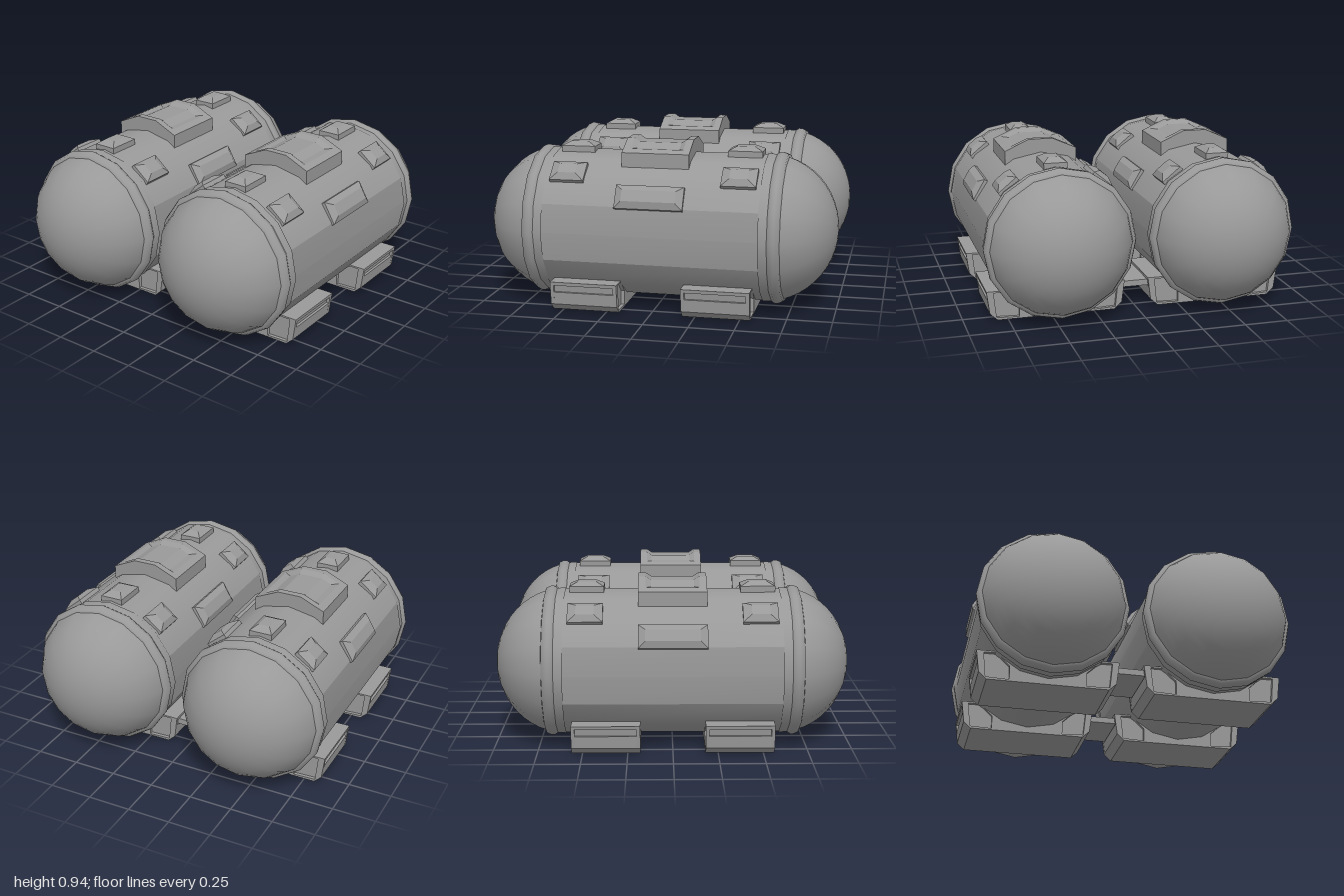
import * as THREE from 'three';
import { toCreasedNormals } from 'three/addons/utils/BufferGeometryUtils.js';

const MAT = new THREE.MeshStandardMaterial({ color: 0x999999 });
const R = 0.415, CY = 0.45, CX = 0.47, SIDES = 16;

function add(parent, name, geometry) {
  const m = new THREE.Mesh(geometry, MAT);
  m.name = name;
  parent.add(m);
  return m;
}

// Profile of [radius, z] pairs turned about the z axis
function turned(profile) {
  const g = new THREE.LatheGeometry(profile.map(([r, z]) => new THREE.Vector2(r, z)), SIDES);
  return g.rotateX(Math.PI / 2);
}

// Barrel with a flattened panel along each side
function barrel() {
  const g = turned([-0.66, -0.65, -0.62, 0.62, 0.65, 0.66].map((z) => [R, z]));
  const p = g.attributes.position;
  for (let i = 0; i < p.count; i++) {
    if (Math.abs(p.getY(i)) < 0.01 && Math.abs(p.getZ(i)) < 0.63) p.setX(i, Math.sign(p.getX(i)) * 0.402);
  }
  return toCreasedNormals(g, 0.42);
}

// Stack of rectangular loops [columns of x, half length in z, height(x)], capped on top
function stacked(loops) {
  const n = loops[0][0].length, pos = [], idx = [];
  for (const [xs, l, h] of loops) {
    for (const x of xs) pos.push(x, h(x), l);
    for (const x of [...xs].reverse()) pos.push(x, h(x), -l);
  }
  const c = 2 * n;
  for (let k = 0; k < loops.length - 1; k++) {
    for (let i = 0; i < c; i++) {
      const a = k * c + i, b = k * c + (i + 1) % c;
      idx.push(a, b, b + c, a, b + c, a + c);
    }
  }
  const t = (loops.length - 1) * c;
  for (let j = 0; j < n - 1; j++) {
    const p = t + j, q = t + c - 1 - j;
    idx.push(p, p + 1, q - 1, p, q - 1, q);
  }
  let g = new THREE.BufferGeometry();
  g.setAttribute('position', new THREE.Float32BufferAttribute(pos, 3));
  g.setIndex(idx);
  g = g.toNonIndexed();
  g.computeVertexNormals();
  return g;
}

// Raised pad: short upright rim, then a bevel to a small flat top
function pad(w, l, topW, topL, rim, top) {
  const loop = (x, z, y) => [[-x, x], z, () => y];
  return stacked([loop(w, l, 0.36), loop(w, l, rim), loop(topW, topL, top)]);
}

// Crowned hatch with a sunken panel
function hatch() {
  const crown = (x) => 0.493 - Math.max(0, Math.abs(x) - 0.07) * 0.45;
  const loop = (w, l, h) => [[-w, -0.07, 0.07, w], l, h];
  return stacked([
    loop(0.21, 0.19, () => 0.345),
    loop(0.21, 0.19, crown),
    loop(0.17, 0.15, crown),
    loop(0.13, 0.12, (x) => crown(x) - 0.02),
  ]);
}

function extruded(points, depth, holes = []) {
  const v = (list) => list.map(([x, y]) => new THREE.Vector2(x, y));
  const s = new THREE.Shape(v(points));
  for (const h of holes) s.holes.push(new THREE.Path(v(h)));
  return new THREE.ExtrudeGeometry(s, { depth, bevelEnabled: false });
}

const mirrored = (pts) => [...pts, ...[...pts].reverse().map(([x, y]) => [-x, y])];

// Saddle foot: core with a side slot, closed by end plates with recessed pockets
function foot() {
  const g = new THREE.Group();
  g.name = 'foot';
  const core = mirrored([[0.34, 0], [0.383, 0.04], [0.39, 0.11], [0.375, 0.11],
    [0.38, 0.15], [0.397, 0.15], [0.4, 0.17]]);
  const plate = mirrored([[0.34, 0], [0.383, 0.04], [0.4, 0.17]]);
  const pocket = [[0.36, 0.16], [0.345, 0.015], [0.215, 0.01], [0.215, 0.09], [0.29, 0.16]];
  const pockets = [pocket, pocket.map(([x, y]) => [-x, y])];
  add(g, 'footCore', extruded(core, 0.34)).position.z = -0.17;
  for (const z of [-0.19, 0.17]) {
    add(g, 'footEndPlate', extruded(plate, 0.02, pockets)).position.z = z;
  }
  return g;
}

function tank() {
  const g = new THREE.Group();
  g.name = 'tank';
  const shell = new THREE.Group();
  shell.name = 'shell';
  shell.position.y = CY;
  g.add(shell);

  add(shell, 'barrel', barrel());

  // Domed ends and rounded collars
  for (const turn of [0, Math.PI]) {
    const end = new THREE.Group();
    end.name = 'tankEnd';
    end.rotation.y = turn;
    shell.add(end);
    const dome = new THREE.SphereGeometry(0.42, SIDES, 12, 0, Math.PI * 2, 0, Math.PI / 2);
    dome.scale(1, 0.4 / 0.42, 1).rotateX(Math.PI / 2);
    add(end, 'dome', dome).position.z = 0.6;
    add(end, 'collar', turned([[0.405, 0.64], [0.418, 0.65], [0.43, 0.668], [0.43, 0.685], [0.418, 0.712], [0.395, 0.718]]));
  }

  // Pads around the upper half
  for (const z of [-0.48, 0.48]) {
    for (const a of [-1, 0, 1]) {
      const sink = a ? 0.01 : 0;
      const p = add(shell, 'smallPad', pad(0.067, 0.097, 0.032, 0.05, 0.436 - sink, 0.46 - sink));
      p.position.z = z;
      p.rotation.z = a * 0.69;
    }
  }
  for (const s of [-1, 1]) {
    add(shell, 'longPad', pad(0.068, 0.19, 0.033, 0.15, 0.424, 0.448)).rotation.z = s * 1.04;
  }
  add(shell, 'hatch', hatch());

  for (const z of [-0.37, 0.37]) {
    const f = foot();
    f.position.z = z;
    g.add(f);
  }
  return g;
}

export function createModel() {
  const model = new THREE.Group();
  model.name = 'twinTanks';
  for (const s of [-1, 1]) {
    const t = tank();
    t.position.x = s * CX;
    model.add(t);
  }
  // Flat links joining the feet
  for (const z of [-0.37, 0.37]) {
    add(model, 'link', new THREE.BoxGeometry(0.2, 0.035, 0.32)).position.set(0, 0.135, z);
  }
  return model;
}
